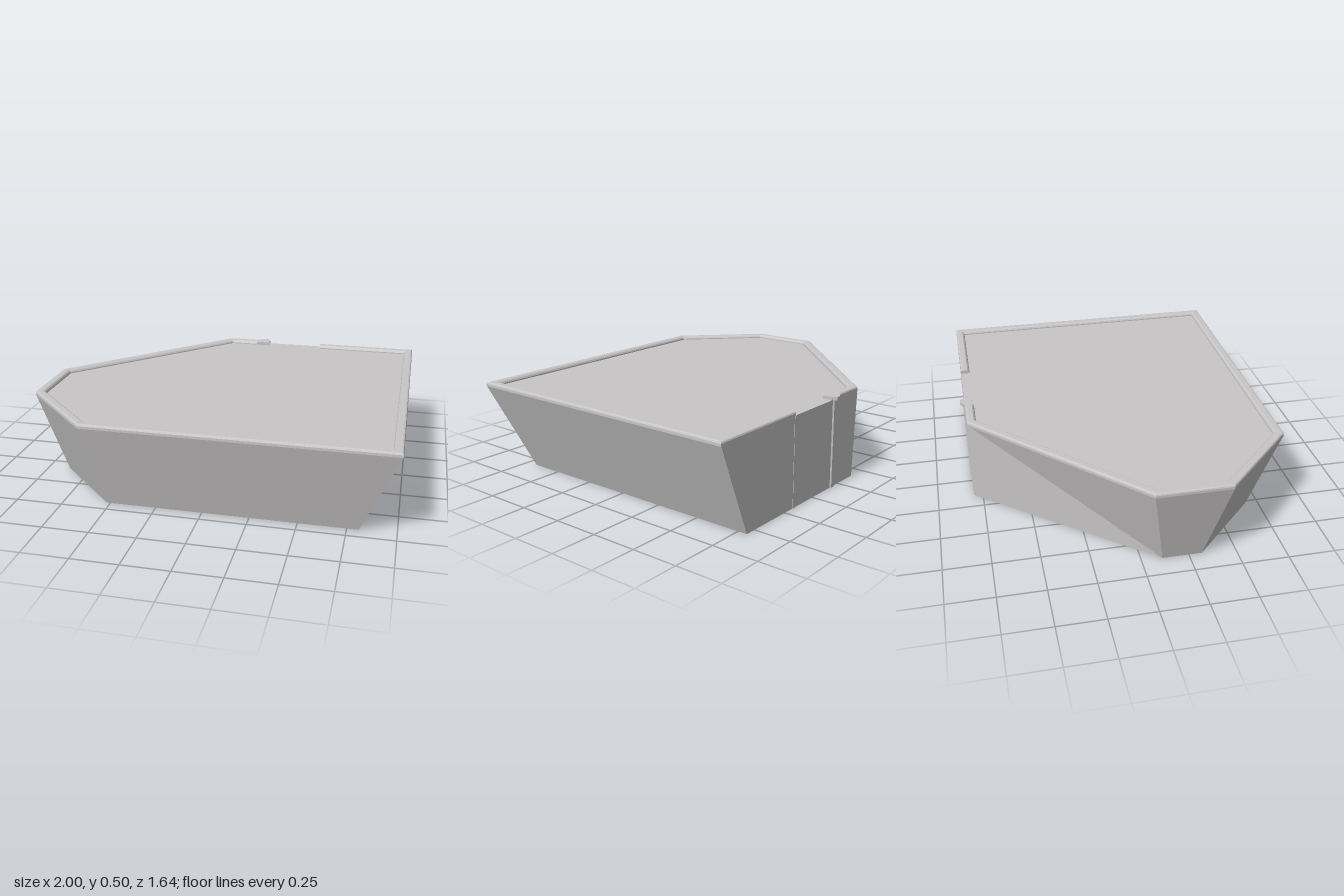
import * as THREE from 'three';

const DECK = 0.48;

// Top and bottom outlines as matching [x, z] corners
const TOP = [[-0.17, -0.8], [-1, 0.03], [-1, 0.42], [-0.6, 0.82], [1, 0.82], [1, -0.8]];
const BASE = [[-0.145, -0.8], [-0.88, 0.11], [-0.88, 0.32], [-0.52, 0.68], [0.81, 0.68], [0.81, -0.8]];

// Coping cross-section: [distance inward, height]
const COPING = [[0, DECK - 0.003], [0, 0.49], [0.003, 0.497], [0.01, 0.5], [0.038, 0.5], [0.046, 0.494], [0.05, 0.486], [0.05, DECK]];

function polygons(faces) {
  const pos = [];
  for (const f of faces)
    for (let i = 1; i < f.length - 1; i++) pos.push(...f[0], ...f[i], ...f[i + 1]);
  const g = new THREE.BufferGeometry();
  g.setAttribute('position', new THREE.Float32BufferAttribute(pos, 3));
  g.computeVertexNormals();
  return g;
}

// Join successive rings of points with quads
function loft(rings, closed) {
  const faces = [];
  for (let k = 0; k < rings.length - (closed ? 0 : 1); k++) {
    const a = rings[k], b = rings[(k + 1) % rings.length];
    for (let i = 0; i < a.length - 1; i++) faces.push([a[i + 1], a[i], b[i], b[i + 1]]);
  }
  return faces;
}

// Mitred sweep of a cross-section along an open path
function sweep(path, profile) {
  const normal = (a, b) => {
    const dx = b[0] - a[0], dz = b[1] - a[1], l = Math.hypot(dx, dz);
    return [dz / l, -dx / l];
  };
  const rings = path.map((p, i) => {
    const n0 = normal(path[Math.max(i - 1, 0)], path[Math.max(i, 1)]);
    const j = Math.min(i, path.length - 2);
    const n1 = normal(path[j], path[j + 1]);
    const k = 1 + n0[0] * n1[0] + n0[1] * n1[1];
    const m = [(n0[0] + n1[0]) / k, (n0[1] + n1[1]) / k];
    return profile.map(([d, y]) => [p[0] + m[0] * d, y, p[1] + m[1] * d]);
  });
  return polygons([...loft(rings, false), rings[0], [...rings[rings.length - 1]].reverse()]);
}

// Plan outline raised between two heights
function prism(outline, y0, y1) {
  const shape = new THREE.Shape(outline.map(([x, z]) => new THREE.Vector2(x, -z)));
  const g = new THREE.ExtrudeGeometry(shape, { depth: y1 - y0, bevelEnabled: false });
  return g.rotateX(-Math.PI / 2).translate(0, y0, 0);
}

export function createModel() {
  const group = new THREE.Group();
  const grey = new THREE.MeshStandardMaterial({ color: 0xc8c6c7, side: THREE.DoubleSide, flatShading: true });
  grey.name = 'pale grey';
  const add = (name, geometry) => {
    const mesh = new THREE.Mesh(geometry, grey);
    mesh.name = name;
    group.add(mesh);
  };

  // Sloping side walls, open underneath
  const wallRings = TOP.map(([x, z], i) => [[BASE[i][0], 0, BASE[i][1]], [x, DECK, z]]);
  add('walls', polygons(loft(wallRings, true)));

  // Flat deck
  const deck = new THREE.ShapeGeometry(new THREE.Shape(TOP.map(([x, z]) => new THREE.Vector2(x, -z))));
  add('deck', deck.rotateX(-Math.PI / 2).translate(0, DECK, 0));

  // Raised coping with a gap at the back
  add('coping', sweep([[0.09, -0.8], ...TOP, [0.42, -0.8]], COPING));

  // Flared coping end beside the gap
  add('copingEnd', prism([[0.01, -0.798], [0.03, -0.81], [0.05, -0.824], [0.078, -0.824], [0.085, -0.81], [0.096, -0.75], [0.01, -0.75]], 0.481, 0.499));

  // Slim upright trim on the back wall under the flared end
  add('backTrim', prism([[0.045, -0.8], [0.05, -0.807], [0.075, -0.807], [0.08, -0.8]], 0, 0.482));

  // Flush seam strip at the other side of the gap
  add('seamStrip', prism([[0.415, -0.8], [0.415, -0.802], [0.43, -0.802], [0.43, -0.8]], 0, DECK));

  return group;
}
